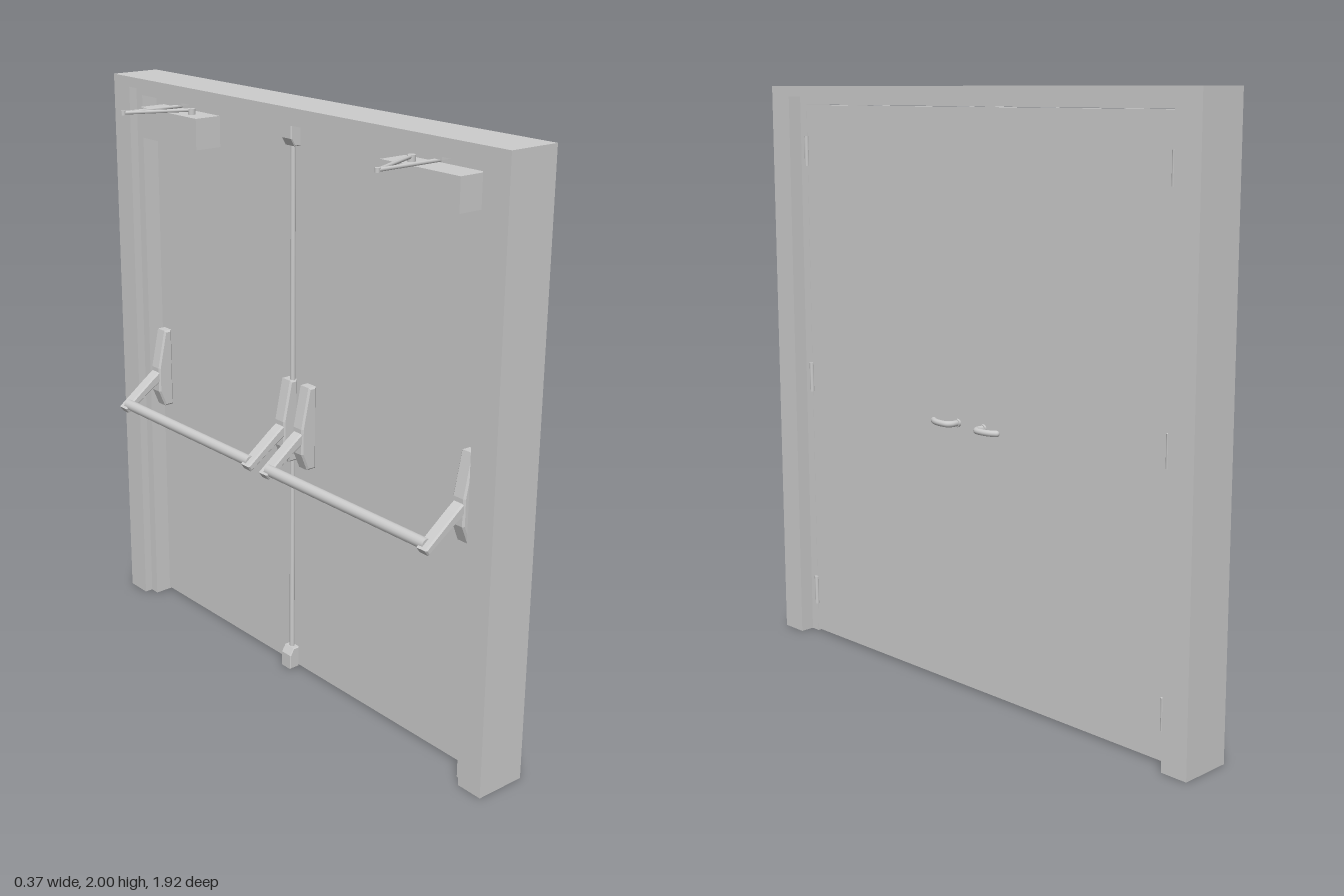
import * as THREE from 'three';

const grey = new THREE.MeshStandardMaterial({ color: 0xcccccc });

function add(parent, name, geometry, x = 0, y = 0, z = 0) {
  const mesh = new THREE.Mesh(geometry, grey);
  mesh.name = name;
  mesh.position.set(x, y, z);
  parent.add(mesh);
  return mesh;
}

// Box given by its limits on each axis
function block(parent, name, [x0, x1], [y0, y1], [z0, z1]) {
  return add(parent, name, new THREE.BoxGeometry(x1 - x0, y1 - y0, z1 - z0),
    (x0 + x1) / 2, (y0 + y1) / 2, (z0 + z1) / 2);
}

// Round rod between two points
function rod(parent, name, a, b, radius, sides = 12) {
  const from = new THREE.Vector3(...a), to = new THREE.Vector3(...b);
  const mesh = add(parent, name, new THREE.CylinderGeometry(radius, radius, from.distanceTo(to), sides));
  mesh.position.copy(from).add(to).multiplyScalar(0.5);
  mesh.quaternion.setFromUnitVectors(new THREE.Vector3(0, 1, 0), to.sub(from).normalize());
  return mesh;
}

// Three-sided surround (two jambs and a head) standing across z
function surround(parent, name, outer, outerTop, inner, innerTop, x0, x1) {
  const shape = new THREE.Shape([
    [-outer, 0], [-inner, 0], [-inner, innerTop], [inner, innerTop],
    [inner, 0], [outer, 0], [outer, outerTop], [-outer, outerTop],
  ].map(p => new THREE.Vector2(...p)));
  const geometry = new THREE.ExtrudeGeometry(shape, { depth: x1 - x0, bevelEnabled: false });
  geometry.rotateY(Math.PI / 2);
  return add(parent, name, geometry, x0);
}

// Side profile in x and y, given a width in z
function profile(parent, name, points, width, z, bevel) {
  const shape = new THREE.Shape(points.map(p => new THREE.Vector2(...p)));
  const geometry = new THREE.ExtrudeGeometry(shape, {
    depth: width - 2 * bevel, bevelEnabled: true, bevelSegments: 1,
    bevelThickness: bevel, bevelSize: bevel, bevelOffset: -bevel,
  });
  geometry.translate(0, 0, -width / 2 + bevel);
  return add(parent, name, geometry, 0, 0, z);
}

// Mounting housing and sloping arm at one end of a push bar
function barBracket(parent, z) {
  const g = new THREE.Group();
  g.name = 'barBracket';
  profile(g, 'housing', [[0.09, 0.79], [0.055, 0.79], [0.03, 0.85], [0.03, 0.94],
    [0.06, 1.08], [0.09, 1.08]], 0.052, z, 0.006);
  profile(g, 'arm', [[0.06, 0.945], [0.06, 0.9], [0, 0.865], [-0.105, 0.795],
    [-0.12, 0.815], [0, 0.905]], 0.045, z, 0.005);
  parent.add(g);
}

// Curved lever on the pull side
function leverHandle(parent, side) {
  const g = new THREE.Group();
  g.name = 'leverHandle';
  const at = (x, z) => new THREE.Vector3(x, 0.912, side * z);
  rod(g, 'rose', [0.129, 0.912, side * 0.06], [0.138, 0.912, side * 0.06], 0.014, 20);
  const path = new THREE.CatmullRomCurve3([at(0.13, 0.06), at(0.158, 0.06), at(0.171, 0.07),
    at(0.174, 0.1), at(0.168, 0.13), at(0.158, 0.148)]);
  add(g, 'lever', new THREE.TubeGeometry(path, 28, 0.0105, 12));
  for (const p of [path.getPoint(1)]) {
    add(g, 'leverTip', new THREE.SphereGeometry(0.0105, 12, 8), p.x, p.y, p.z);
  }
  parent.add(g);
}

// Closer body with its folding arm
function doorCloser(parent, side) {
  const g = new THREE.Group();
  g.name = 'doorCloser';
  const s = z => side * z;
  block(g, 'closerBody', [-0.01, 0.09], [1.8, 1.905], side > 0 ? [0.455, 0.785] : [-0.785, -0.455]);
  rod(g, 'closerSpindle', [0.035, 1.9, s(0.54)], [0.035, 1.925, s(0.54)], 0.013);
  rod(g, 'mainArm', [0.035, 1.92, s(0.54)], [-0.18, 1.92, s(0.632)], 0.006, 8);
  rod(g, 'forearm', [-0.18, 1.92, s(0.632)], [0.06, 1.92, s(0.632)], 0.006, 8);
  rod(g, 'elbow', [-0.18, 1.913, s(0.632)], [-0.18, 1.927, s(0.632)], 0.008);
  block(g, 'armShoe', [0.04, 0.085], [1.925, 1.937], [s(0.632) - 0.027, s(0.632) + 0.027]);
  parent.add(g);
}

export function createModel() {
  const model = new THREE.Group();
  model.name = 'doubleDoor';

  // Frame with a raised inner lip
  surround(model, 'frame', 0.96, 2, 0.865, 1.965, 0, 0.18);
  surround(model, 'frameLip', 0.865, 1.965, 0.83, 1.937, 0.03, 0.13);

  for (const side of [1, -1]) {
    // Leaf and its three hinges
    block(model, 'doorLeaf', [0.09, 0.13], [0.008, 1.935], side > 0 ? [0, 0.829] : [-0.829, 0]);
    for (const y of [0.16, 0.965, 1.775]) {
      rod(model, 'hinge', [0.133, y - 0.052, side * 0.83], [0.133, y + 0.052, side * 0.83], 0.008);
    }
    leverHandle(model, side);
    doorCloser(model, side);
  }

  // Push bars, one on each leaf
  for (const [z0, z1] of [[-0.797, -0.063], [0.034, 0.787]]) {
    const g = new THREE.Group();
    g.name = 'pushBar';
    barBracket(g, z0);
    barBracket(g, z1);
    rod(g, 'bar', [-0.094, 0.822, z0], [-0.094, 0.822, z1], 0.019, 16);
    model.add(g);
  }

  // Vertical bolt with a latch at each end
  rod(model, 'boltRod', [0.078, 0.05, -0.05], [0.078, 1.9, -0.05], 0.009);
  profile(model, 'topLatch', [[0.09, 1.865], [0.065, 1.865], [0.05, 1.89], [0.05, 1.937],
    [0.09, 1.937]], 0.05, -0.05, 0.003);
  profile(model, 'bottomLatch', [[0.09, 0.002], [0.05, 0.002], [0.05, 0.055], [0.065, 0.08],
    [0.09, 0.08]], 0.05, -0.05, 0.003);

  return model;
}
